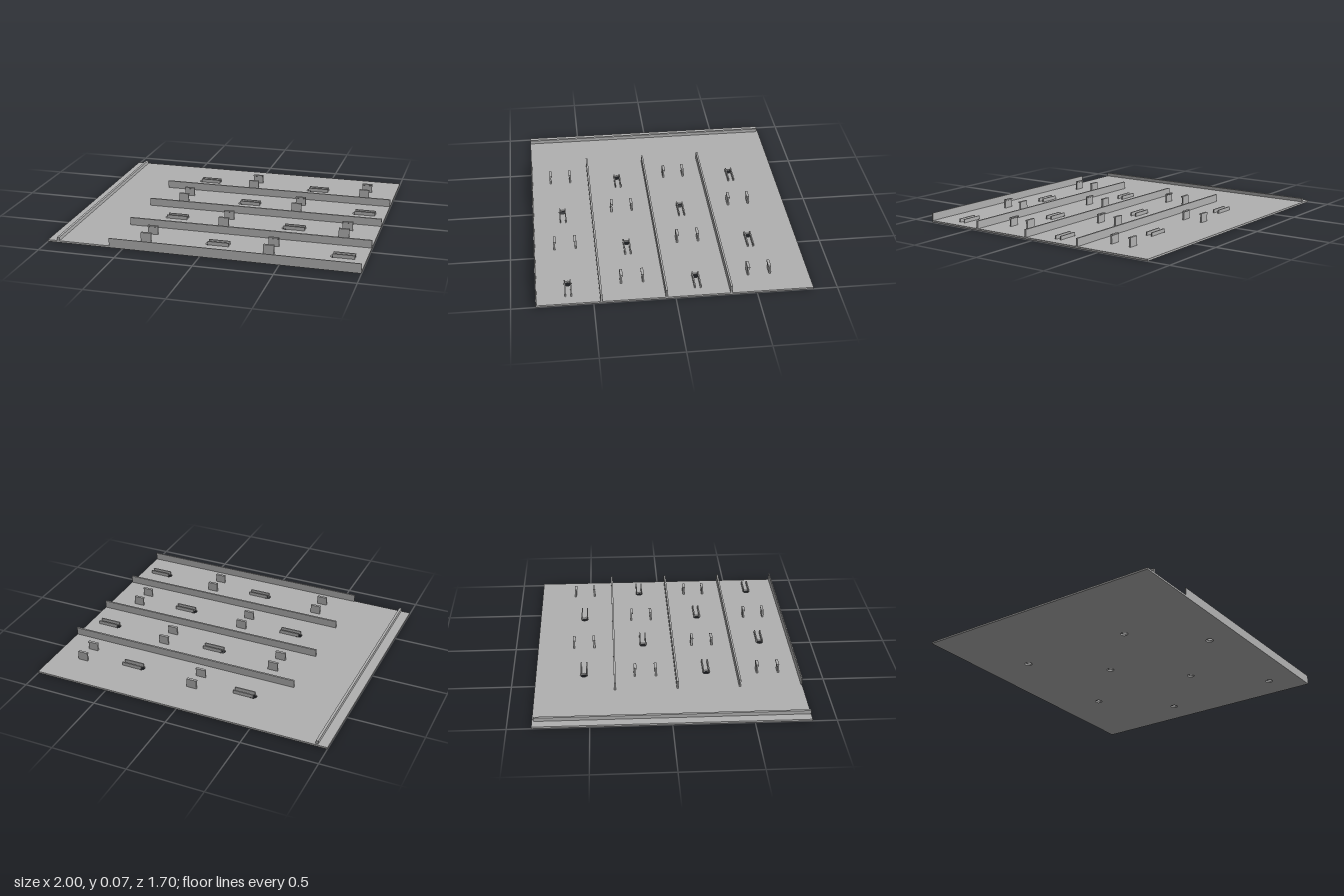
import * as THREE from 'three';

const BASE = 0.012;

export function createModel() {
  const model = new THREE.Group();
  model.name = 'ribbedPanel';
  const grey = new THREE.MeshStandardMaterial({ color: 0xb0b0b0 });
  grey.name = 'grey';

  const add = (name, geometry, parent = model) => {
    const mesh = new THREE.Mesh(geometry, grey);
    mesh.name = name;
    parent.add(mesh);
    return mesh;
  };
  // Box given by its limits on each axis
  const box = (name, x0, x1, y0, y1, z0, z1, parent) =>
    add(name, new THREE.BoxGeometry(x1 - x0, y1 - y0, z1 - z0), parent)
      .position.set((x0 + x1) / 2, (y0 + y1) / 2, (z0 + z1) / 2);

  // Four rows; holes and clips swap columns from row to row
  const columns = [-0.39, 0.006, 0.404, 0.8];
  const rows = [-0.54, -0.143, 0.253, 0.65];
  const holes = [], clips = [];
  rows.forEach((z, r) => columns.forEach((x, c) => ((r + c) % 2 ? clips : holes).push([x, z])));

  // Base plate with round holes
  const plate = new THREE.Shape([[-1, -0.85], [1, -0.85], [1, 0.85], [-1, 0.85]].map(p => new THREE.Vector2(...p)));
  for (const [x, z] of holes) {
    const hole = new THREE.Path();
    hole.absarc(x, -z, 0.024, 0, Math.PI * 2, true);
    plate.holes.push(hole);
  }
  const plateGeometry = new THREE.ExtrudeGeometry(plate, { depth: BASE, bevelEnabled: false, curveSegments: 24 });
  plateGeometry.rotateX(-Math.PI / 2);
  add('basePlate', plateGeometry);

  // Edge lip along the left side of the plan
  box('edgeLip', -0.938, -0.922, BASE, 0.035, -0.84, 0.85);

  // Long ribs between the rows
  for (const z of [-0.341, 0.056, 0.453]) box('rib', -0.59, 1, BASE, 0.062, z - 0.006, z + 0.006);
  box('edgeRib', -0.59, 1, BASE, 0.062, 0.843, 0.85);

  // Pairs of low rails beside each hole
  for (const [x, z] of holes) {
    const rails = new THREE.Group();
    rails.name = 'holeRails';
    rails.position.set(x, 0, z);
    model.add(rails);
    for (const s of [-1, 1]) box('rail', -0.008, 0.13, BASE, 0.035, s * 0.018 - 0.004, s * 0.018 + 0.004, rails);
  }

  // Facing pairs of hooked clips
  const profile = new THREE.Shape([
    [0.074, BASE], [0.074, 0.071], [0.057, 0.071], [0.057, 0.064], [0.063, 0.061], [0.063, BASE],
  ].map(p => new THREE.Vector2(...p)));
  const clipGeometry = new THREE.ExtrudeGeometry(profile, { depth: 0.068, bevelEnabled: false });
  clipGeometry.translate(0, 0, -0.034);
  clipGeometry.rotateY(-Math.PI / 2);
  for (const [x, z] of clips) {
    for (const turn of [0, Math.PI]) {
      const clip = add('clip', clipGeometry);
      clip.position.set(x, 0, z);
      clip.rotation.y = turn;
    }
  }

  return model;
}
